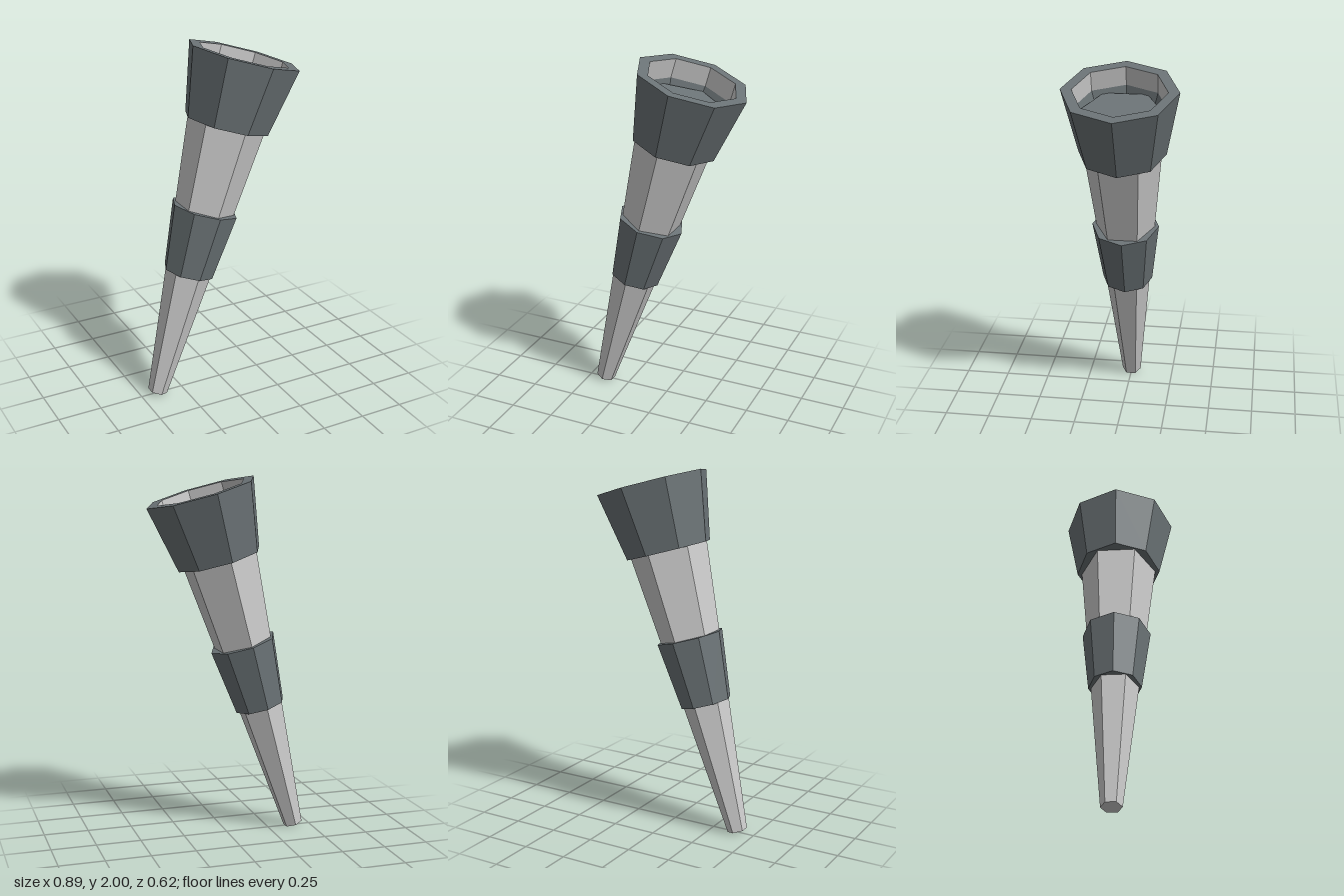
import * as THREE from 'three';

export function createModel() {
  const grey = new THREE.MeshStandardMaterial({ color: 0xcccccc, flatShading: true });
  const dark = new THREE.MeshStandardMaterial({ color: 0x6b7376, flatShading: true });

  // Everything is built along the torch axis, starting at the handle tip
  const torch = new THREE.Group();
  torch.name = 'torch';
  const add = (name, geometry, material, y = 0) => {
    const mesh = new THREE.Mesh(geometry, material);
    mesh.name = name;
    mesh.position.y = y;
    torch.add(mesh);
  };
  // Eight-sided turned part; profile is [radius, height] pairs
  const turned = (profile) =>
    new THREE.LatheGeometry(profile.map(([r, y]) => new THREE.Vector2(r, y)), 8);

  // Six-sided tapering handle running up inside the head, with a dark top
  const handleLength = 1.84;
  add('handle', new THREE.CylinderGeometry(0.235, 0.055, handleLength, 6),
    [grey, dark, grey], handleLength / 2);

  // Grip collar around the middle of the handle
  add('collar', new THREE.CylinderGeometry(0.187, 0.142, 0.374, 8), dark, 0.93);

  // Flared head: underside, outer wall and flat rim
  add('head', turned([[0.15, 1.602], [0.237, 1.602], [0.31, 1.977], [0.25, 1.977]]), dark);

  // Inside of the bowl: pale upper band, then the dark gap beside the handle top
  add('bowlLining', turned([[0.25, 1.977], [0.25, 1.867]]), grey);
  add('bowlBase', turned([[0.25, 1.867], [0.19, 1.7]]), dark);

  // Lean toward the model's left
  torch.rotation.z = -THREE.MathUtils.degToRad(16);
  torch.position.set(-0.4, 0.014, 0);

  const model = new THREE.Group();
  model.add(torch);
  return model;
}
